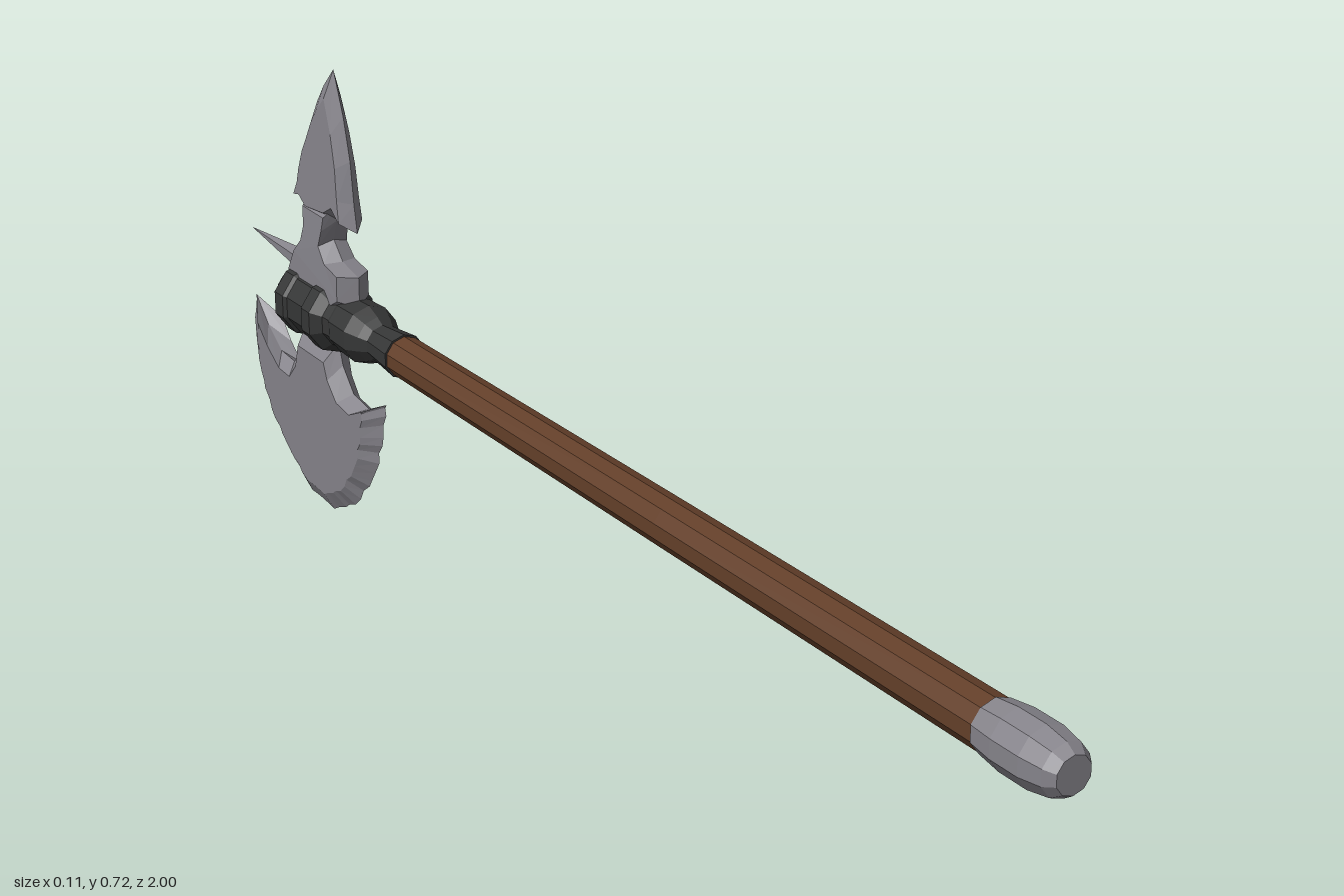
import * as THREE from 'three';

const mat = (name, color) => new THREE.MeshStandardMaterial({ name, color });

// faceted normals
function facet(geo) {
  const g = geo.index ? geo.toNonIndexed() : geo;
  g.computeVertexNormals();
  return g;
}

function part(name, geo, material) {
  const m = new THREE.Mesh(facet(geo), material);
  m.name = name;
  return m;
}

// turned part: [position along the shaft, radius]
function turned(name, profile, sides, material) {
  const pts = profile.map(([z, r]) => new THREE.Vector2(r, z));
  return part(name, new THREE.LatheGeometry(pts, sides), material);
}

// Forged plate in the y/z plane: sharp rim at x = 0, bevelled to two flat cheeks.
// Outline points are [distance behind centre, height].
function plate(name, outline, [cu, cv], bevel, thickness, material) {
  const rim = outline.map(([u, v]) => new THREE.Vector2(u, v));
  if (THREE.ShapeUtils.isClockWise(rim)) rim.reverse();
  const centre = new THREE.Vector2(cu, cv);
  const inner = rim.map(p => p.clone().lerp(centre, bevel));
  const faces = THREE.ShapeUtils.triangulateShape(inner, []);
  const pos = [];
  const put = (p, x) => pos.push(x, p.y, -p.x);
  for (const s of [1, -1]) {
    const tri = (a, b, c) => (s > 0 ? [a, b, c] : [a, c, b]).forEach(([p, x]) => put(p, x));
    const top = i => [inner[i], s * thickness(inner[i].y)];
    const edge = i => [rim[i], 0];
    faces.forEach(([a, b, c]) => tri(top(a), top(b), top(c)));
    rim.forEach((_, i) => {
      const j = (i + 1) % rim.length;
      tri(edge(i), edge(j), top(j));
      tri(edge(i), top(j), top(i));
    });
  }
  const g = new THREE.BufferGeometry();
  g.setAttribute('position', new THREE.Float32BufferAttribute(pos, 3));
  return part(name, g, material);
}

// smooth cutting edge with small nicks
function nicked(points, count, depth) {
  const curve = new THREE.SplineCurve(points.map(p => new THREE.Vector2(...p)));
  return curve.getPoints(count).map((p, i) => {
    const k = i === 0 || i === count ? 0 : depth * Math.sin(i * 2.4);
    return [p.x + k * 0.5, p.y + Math.abs(k)];
  });
}

export function createModel() {
  const steel = mat('steel', 0x85838a);
  const iron = mat('dark iron', 0x353636);
  const wood = mat('wood', 0x633f29);
  const model = new THREE.Group();
  model.name = 'halberd';

  // shaft and everything turned around it, dipping slightly toward the head
  const shaft = new THREE.Group();
  shaft.name = 'shaft';
  shaft.position.y = 0.359;
  shaft.rotation.x = Math.PI / 2 - 0.018;
  model.add(shaft);
  shaft.add(turned('handle', [[-0.53, 0.031], [0.2, 0.034], [0.88, 0.036]], 10, wood));
  shaft.add(turned('pommel',
    [[0.86, 0], [0.86, 0.037], [0.9, 0.042], [0.95, 0.042], [0.985, 0.036], [1, 0.026], [1, 0]], 10, steel));
  shaft.add(turned('ferrule',
    [[-0.68, 0.038], [-0.665, 0.044], [-0.615, 0.046], [-0.59, 0.036], [-0.575, 0.028], [-0.51, 0.034], [-0.51, 0]], 10, iron));
  shaft.add(turned('socket',
    [[-0.83, 0], [-0.83, 0.044], [-0.815, 0.057], [-0.79, 0.057], [-0.785, 0.052], [-0.735, 0.052],
      [-0.73, 0.057], [-0.705, 0.057], [-0.69, 0.042], [-0.66, 0.04]], 10, iron));
  shaft.add(turned('endKnob', [[-0.862, 0], [-0.862, 0.026], [-0.85, 0.031], [-0.82, 0.031]], 10, iron));

  // iron inlay along the underside
  const inlay = part('undersideInlay', new THREE.BoxGeometry(0.016, 0.48, 0.006), iron);
  inlay.position.set(0, 0.05, 0.0325);
  shaft.add(inlay);

  // crescent axe blade
  const edge = nicked([[0.57, 0.251], [0.581, 0.198], [0.603, 0.134], [0.645, 0.075], [0.704, 0.027],
    [0.769, 0.008], [0.833, 0.019], [0.886, 0.053], [0.94, 0.1], [0.978, 0.16], [0.994, 0.23], [0.988, 0.289]], 40, 0.007);
  const hollow = [[0.951, 0.251], [0.908, 0.221], [0.865, 0.218], [0.835, 0.25], [0.818, 0.3],
    [0.715, 0.3], [0.704, 0.267], [0.672, 0.232], [0.624, 0.225]];
  model.add(plate('axeBlade', [...edge, ...hollow], [0.769, 0.145], 0.2,
    y => 0.0145 + 0.032 * Math.max(0, y - 0.03), steel));

  // upper spear head
  model.add(plate('spearHead', [[0.704, 0.733], [0.736, 0.7], [0.758, 0.67], [0.779, 0.631], [0.796, 0.602],
    [0.811, 0.561], [0.818, 0.532], [0.833, 0.503], [0.811, 0.508], [0.785, 0.492], [0.71, 0.5],
    [0.678, 0.519], [0.645, 0.497], [0.653, 0.54], [0.661, 0.604], [0.678, 0.668]],
  [0.731, 0.55], 0.24, y => 0.02 - 0.03 * Math.max(0, y - 0.5), steel));

  // neck and shoulder rising from the socket
  model.add(plate('neck', [[0.704, 0.525], [0.71, 0.497], [0.72, 0.465], [0.694, 0.438], [0.645, 0.428],
    [0.645, 0.38], [0.715, 0.337], [0.811, 0.337], [0.838, 0.385], [0.815, 0.428], [0.79, 0.455],
    [0.78, 0.487], [0.785, 0.525]], [0.747, 0.425], 0.2,
  y => 0.027 - 0.07 * Math.max(0, y - 0.42), steel));

  // rear spike: flattened cone pointing back
  const cone = new THREE.ConeGeometry(1, 0.24, 6, 3);
  cone.scale(0.022, 1, 0.025);
  cone.rotateX(-Math.PI / 2);
  const spike = part('rearSpike', cone, steel);
  spike.position.set(0, 0.4, -0.873);
  model.add(spike);

  return model;
}
